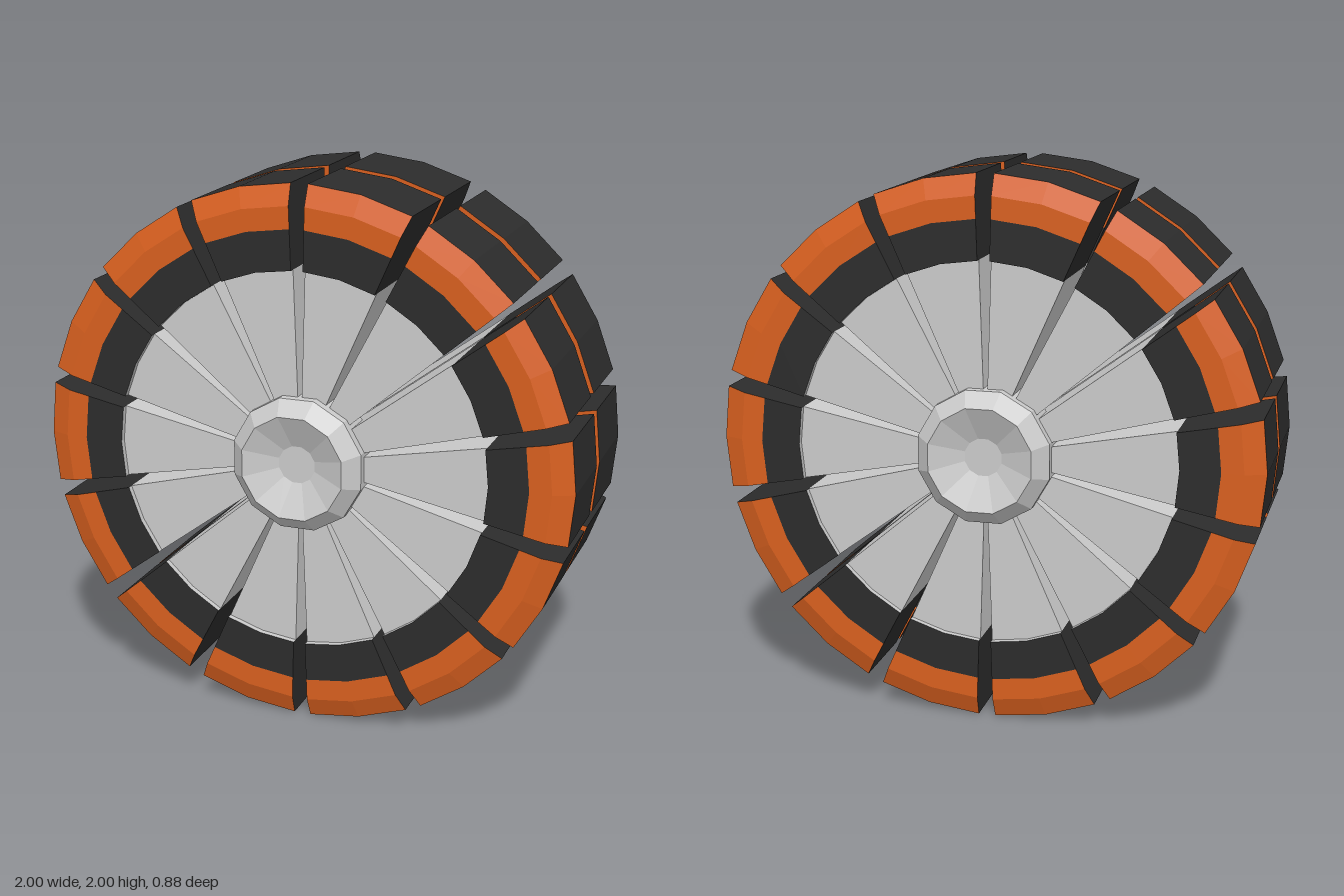
import * as THREE from 'three';

const grey = new THREE.MeshStandardMaterial({ color: 0xcccccc, flatShading: true });
const black = new THREE.MeshStandardMaterial({ color: 0x2c2c2c, flatShading: true });
const orange = new THREE.MeshStandardMaterial({ color: 0xd9601f, flatShading: true });

const COUNT = 14;                                  // segments per row
const HALF = THREE.MathUtils.degToRad(11.05);      // half the angle one segment covers
const ARC_STEPS = 2;
const RIM = 0.70, BAND = 0.845, SHOULDER = 0.925, OUTER = 1;
const INSIDE = 0.022, DISC = 0.352, FACE = 0.374, TREAD = 0.345;

const at = ([r, z], a) => [r * Math.cos(a), r * Math.sin(a), z];

function toGeometry(positions) {
  const g = new THREE.BufferGeometry();
  g.setAttribute('position', new THREE.Float32BufferAttribute(positions, 3));
  g.computeVertexNormals();
  return g;
}

// Sweeps an open [radius, z] line around the axis
function sweep(line) {
  const out = [];
  for (let s = 0; s < ARC_STEPS; s++) {
    const a = -HALF + (2 * HALF * s) / ARC_STEPS, b = a + (2 * HALF) / ARC_STEPS;
    for (let i = 0; i + 1 < line.length; i++) {
      const [p, q] = [line[i], line[i + 1]];
      out.push(...at(p, a), ...at(p, b), ...at(q, b), ...at(p, a), ...at(q, b), ...at(q, a));
    }
  }
  return toGeometry(out);
}

// Flat end wall from an anticlockwise [radius, z] outline
function endWall(outline, side) {
  const out = [];
  const tris = THREE.ShapeUtils.triangulateShape(outline.map(([r, z]) => new THREE.Vector2(r, z)), []);
  for (const [i, j, k] of tris) {
    const order = side < 0 ? [i, j, k] : [i, k, j];
    for (const n of order) out.push(...at(outline[n], side * HALF));
  }
  return toGeometry(out);
}

// Outlines of the two bodies that make up a segment
const treadOutline = [[RIM, INSIDE], [OUTER, INSIDE], [OUTER, TREAD], [SHOULDER, FACE], [RIM, FACE]];
const discOutline = [[0.15, INSIDE], [RIM, INSIDE], [RIM, DISC], [0.15, DISC]];

const parts = [
  ['treadBlock', black, sweep([[OUTER, INSIDE], [OUTER, TREAD]])],
  ['outerOrangeBand', orange, sweep([[OUTER, TREAD], [SHOULDER, FACE], [BAND, FACE]])],
  ['innerOrangeBand', orange, sweep([[BAND, INSIDE], [OUTER, INSIDE]])],
  ['outerSidewall', black, sweep([[BAND, FACE], [RIM, FACE]])],
  ['innerSidewall', black, sweep([[RIM, INSIDE], [BAND, INSIDE]])],
  ['rimLip', grey, sweep([[RIM, FACE], [RIM, DISC]])],
  ['discFace', grey, sweep([[RIM, DISC], [0.15, DISC], [0.15, INSIDE], [RIM, INSIDE]])],
  ['treadEndLower', black, endWall(treadOutline, -1)],
  ['treadEndUpper', black, endWall(treadOutline, 1)],
  ['discEndLower', grey, endWall(discOutline, -1)],
  ['discEndUpper', grey, endWall(discOutline, 1)],
];

// Dished hub cap, twelve-sided
function hubCap() {
  const profile = [[0, 0.24], [0.25, 0.24], [0.25, 0.385], [0.195, 0.44], [0.07, 0.385], [0, 0.385]];
  const g = new THREE.LatheGeometry(profile.map(([r, z]) => new THREE.Vector2(r, z)), 12, Math.PI / 12);
  g.rotateX(Math.PI / 2);
  const cap = new THREE.Mesh(g, grey);
  cap.name = 'hubCap';
  return cap;
}

// One half of the wheel; plainEnd is the segment with an uncoloured end wall
function wheelHalf(name, plainEnd = -1) {
  const half = new THREE.Group();
  half.name = name;
  for (let k = 0; k < COUNT; k++) {
    const segment = new THREE.Group();
    segment.name = 'segment' + (k + 1);
    for (const [partName, material, geometry] of parts) {
      const plain = k === plainEnd && partName === 'treadEndLower';
      const mesh = new THREE.Mesh(geometry, plain ? grey : material);
      mesh.name = partName;
      segment.add(mesh);
    }
    segment.rotation.z = (k * 2 * Math.PI) / COUNT;
    half.add(segment);
  }
  half.add(hubCap());
  return half;
}

export function createModel() {
  const wheel = new THREE.Group();
  wheel.name = 'segmentedWheel';
  const front = wheelHalf('frontHalf');
  const back = wheelHalf('backHalf', 10);
  back.rotation.y = Math.PI;
  front.position.y = back.position.y = 1;
  wheel.add(front, back);
  return wheel;
}
